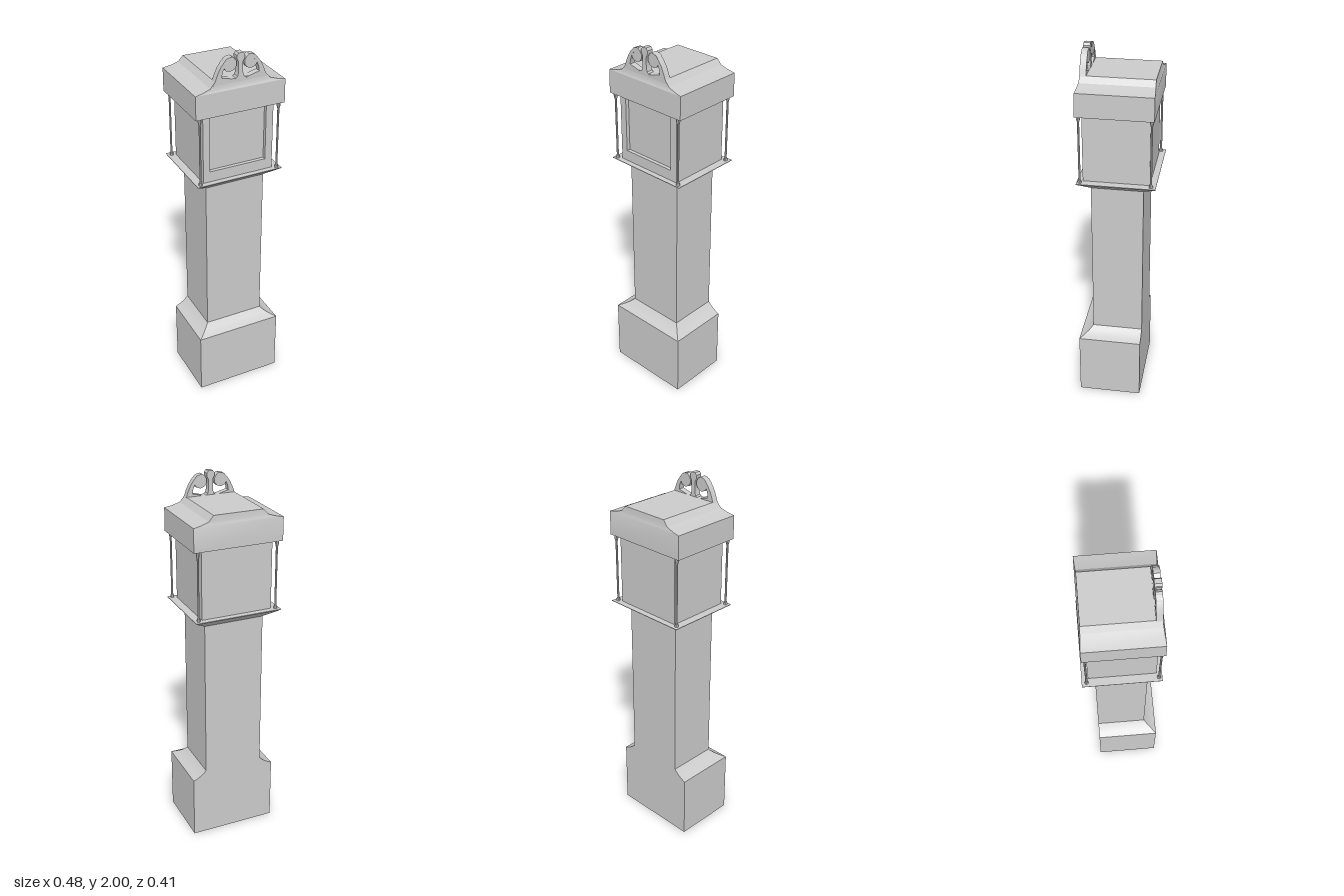
import * as THREE from 'three';
import { toCreasedNormals } from 'three/addons/utils/BufferGeometryUtils.js';

const material = new THREE.MeshStandardMaterial({ color: 0xcccccc });

function add(parent, name, geometry, x = 0, y = 0, z = 0) {
  const mesh = new THREE.Mesh(geometry, material);
  mesh.name = name;
  mesh.position.set(x, y, z);
  parent.add(mesh);
  return mesh;
}

// Closed solid from rectangular rings, bottom to top: [y, half width, back z, front z]
function loft(rings, crease = 0.1) {
  const pos = [];
  const corners = rings.map(([y, w, b, f]) => [[-w, y, f], [w, y, f], [w, y, b], [-w, y, b]]);
  const quad = (a, b, c, d) => pos.push(...a, ...b, ...c, ...a, ...c, ...d);
  for (let r = 0; r < corners.length - 1; r++) {
    for (let i = 0; i < 4; i++) {
      const j = (i + 1) % 4;
      quad(corners[r][i], corners[r][j], corners[r + 1][j], corners[r + 1][i]);
    }
  }
  const bottom = corners[0], top = corners[corners.length - 1];
  quad(bottom[3], bottom[2], bottom[1], bottom[0]);
  quad(top[0], top[1], top[2], top[3]);
  const g = new THREE.BufferGeometry();
  g.setAttribute('position', new THREE.Float32BufferAttribute(pos, 3));
  return toCreasedNormals(g, crease);
}

function extrude(shape, depth) {
  return toCreasedNormals(new THREE.ExtrudeGeometry(shape, { depth, bevelEnabled: false }), 0.6);
}

function polygon(points) {
  return new THREE.Shape(points.map(([x, y]) => new THREE.Vector2(x, y)));
}

export function createModel() {
  const clock = new THREE.Group();
  clock.name = 'longcaseClock';

  // Plinth with a concave shoulder, flush at the back
  add(clock, 'base', loft([
    [0, 0.24, -0.137, 0.205],
    [0.355, 0.24, -0.137, 0.205],
    [0.366, 0.215, -0.137, 0.183],
    [0.382, 0.189, -0.137, 0.159],
    [0.405, 0.165, -0.137, 0.137],
  ], 0.5));
  add(clock, 'trunk', loft([[0.4, 0.165, -0.137, 0.137], [1.285, 0.165, -0.137, 0.137]]));

  // Flared shelf carrying the hood
  add(clock, 'shelf', loft([
    [1.28, 0.165, -0.137, 0.137],
    [1.33, 0.238, -0.205, 0.201],
    [1.333, 0.238, -0.205, 0.201],
  ]));

  // Dial case with a framed, recessed dial
  add(clock, 'dialCase', loft([[1.33, 0.194, -0.172, 0.152], [1.705, 0.194, -0.172, 0.152]]));
  const frame = polygon([[-0.194, 1.33], [0.194, 1.33], [0.194, 1.705], [-0.194, 1.705]]);
  frame.holes.push(polygon([[-0.157, 1.39], [-0.157, 1.7], [0.154, 1.7], [0.154, 1.39]]));
  add(clock, 'dialFrame', extrude(frame, 0.02), 0, 0, 0.152);

  // Slender corner columns with small feet and capitals
  const columnProfile = [
    [0, 0], [0.01, 0], [0.01, 0.01], [0.0055, 0.022],
    [0.0055, 0.335], [0.01, 0.352], [0.01, 0.372], [0, 0.372],
  ].map(([r, y]) => new THREE.Vector2(r, y));
  const columnGeometry = toCreasedNormals(new THREE.LatheGeometry(columnProfile, 8), 0.9);
  for (const x of [-0.216, 0.216]) {
    for (const z of [-0.18, 0.184]) add(clock, 'column', columnGeometry, x, 1.331, z);
  }

  // Hood block and its stepped, sloping roof
  add(clock, 'hood', loft([
    [1.7, 0.242, -0.195, 0.199],
    [1.825, 0.242, -0.195, 0.197],
    [1.833, 0.2, -0.192, 0.193],
    [1.846, 0.16, -0.189, 0.19],
    [1.875, 0.134, -0.187, 0.187],
  ], 0.4));

  // Swan-neck crest: a curved neck and scroll on each side of a finial
  const crest = new THREE.Group();
  crest.name = 'crest';
  clock.add(crest);
  const neckPoints = [
    [0, 1.84], [0.16, 1.84], [0.146, 1.855], [0.134, 1.878], [0.124, 1.905], [0.11, 1.935],
    [0.09, 1.963], [0.065, 1.983], [0.045, 1.986], [0.03, 1.975],
    [0.06, 1.97], [0.084, 1.945], [0.096, 1.915], [0.1, 1.889],
    [0.07, 1.882], [0.035, 1.872], [0, 1.872],
  ];
  for (const side of [-1, 1]) {
    const points = neckPoints.map(([x, y]) => [x * side, y]);
    add(crest, 'swanNeck', extrude(polygon(points), 0.033), 0, 0, 0.156);
    const scroll = new THREE.CylinderGeometry(0.036, 0.036, 0.032, 10).rotateX(Math.PI / 2);
    add(crest, 'scroll', toCreasedNormals(scroll, 0.8), side * 0.056, 1.949, 0.172);
  }
  const finialHalf = [
    [0.034, 1.868], [0.017, 1.882], [0.012, 1.9], [0.012, 1.955],
    [0.021, 1.972], [0.021, 1.988], [0.012, 2],
  ];
  const finial = [...finialHalf, ...finialHalf.map(([x, y]) => [-x, y]).reverse()];
  add(crest, 'finial', extrude(polygon(finial), 0.035), 0, 0, 0.155);

  return clock;
}
